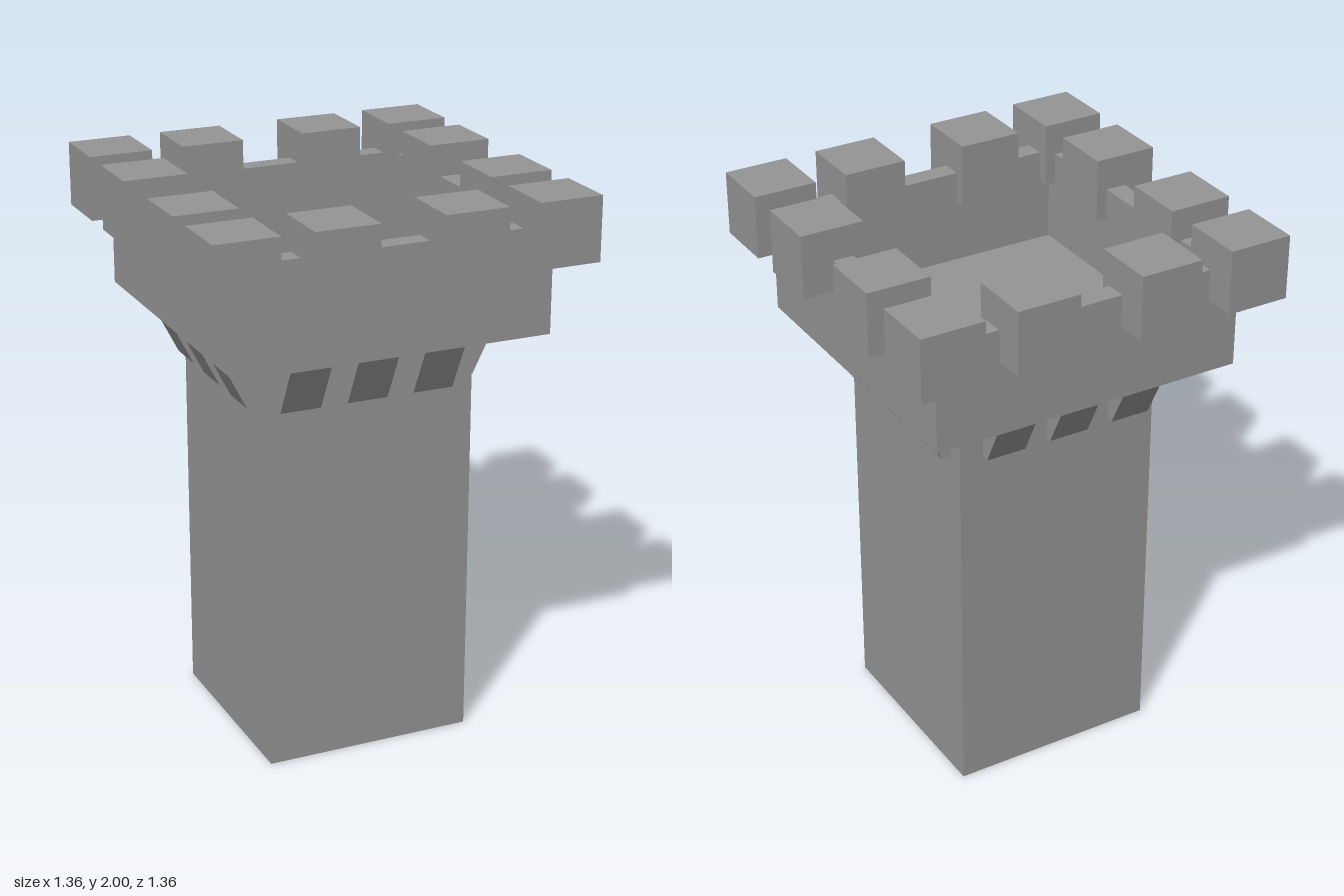
import * as THREE from 'three';

const material = new THREE.MeshStandardMaterial({ color: 0x959595, flatShading: true });

function addMesh(parent, name, geometry, x = 0, y = 0, z = 0) {
  const mesh = new THREE.Mesh(geometry, material);
  mesh.name = name;
  mesh.position.set(x, y, z);
  parent.add(mesh);
  return mesh;
}

function squarePath(PathType, half) {
  return new PathType([[-half, -half], [half, -half], [half, half], [-half, half]]
    .map(([x, y]) => new THREE.Vector2(x, y)));
}

// Sloped bracket, reaching out along +x, centred across z
function corbelGeometry(bottomReach, topReach, width) {
  const profile = new THREE.Shape([
    new THREE.Vector2(0.36, 1.307), new THREE.Vector2(bottomReach, 1.307),
    new THREE.Vector2(topReach, 1.512), new THREE.Vector2(0.36, 1.512),
  ]);
  return new THREE.ExtrudeGeometry(profile, { depth: width, bevelEnabled: false })
    .translate(0, 0, -width / 2);
}

export function createModel() {
  const tower = new THREE.Group();
  tower.name = 'tower';

  // Square shaft
  addMesh(tower, 'shaft', new THREE.BoxGeometry(0.75, 1.52, 0.75), 0, 0.76, 0);

  // Platform: floor slab and hollow parapet wall
  const bottom = 1.507, top = 1.885, floor = 1.55;
  addMesh(tower, 'platformFloor', new THREE.BoxGeometry(1, floor - bottom, 1), 0, (floor + bottom) / 2, 0);
  const ring = squarePath(THREE.Shape, 0.565);
  ring.holes.push(squarePath(THREE.Path, 0.492));
  const parapet = new THREE.ExtrudeGeometry(ring, { depth: top - bottom, bevelEnabled: false });
  addMesh(tower, 'parapet', parapet.rotateX(-Math.PI / 2), 0, bottom, 0);

  // Merlons around the edge
  const merlon = new THREE.BoxGeometry(0.226, 0.226, 0.226);
  const stops = [-0.565, -0.226, 0.226, 0.565];
  stops.forEach((x, i) => stops.forEach((z, j) => {
    if (i % 3 === 0 || j % 3 === 0) addMesh(tower, 'merlon', merlon, x, 1.887, z);
  }));

  // Three corbels under each side: turn about y, reach below and above, sideways centre
  const sides = [
    { name: 'leftCorbel', turn: 0, low: 0.41, high: 0.512, x: 0, z: 0 },
    { name: 'backCorbel', turn: Math.PI / 2, low: 0.40, high: 0.502, x: -0.027, z: 0 },
    { name: 'rightCorbel', turn: Math.PI, low: 0.423, high: 0.528, x: 0, z: 0 },
    { name: 'frontCorbel', turn: -Math.PI / 2, low: 0.402, high: 0.505, x: -0.027, z: 0 },
  ];
  for (const { name, turn, low, high, x, z } of sides) {
    const geometry = corbelGeometry(low, high, 0.146);
    const alongX = x !== 0;
    for (const offset of [-0.242, 0, 0.242]) {
      const corbel = addMesh(tower, name, geometry, x + (alongX ? offset : 0), 0, z + (alongX ? 0 : offset));
      corbel.rotation.y = turn;
    }
  }
  return tower;
}
